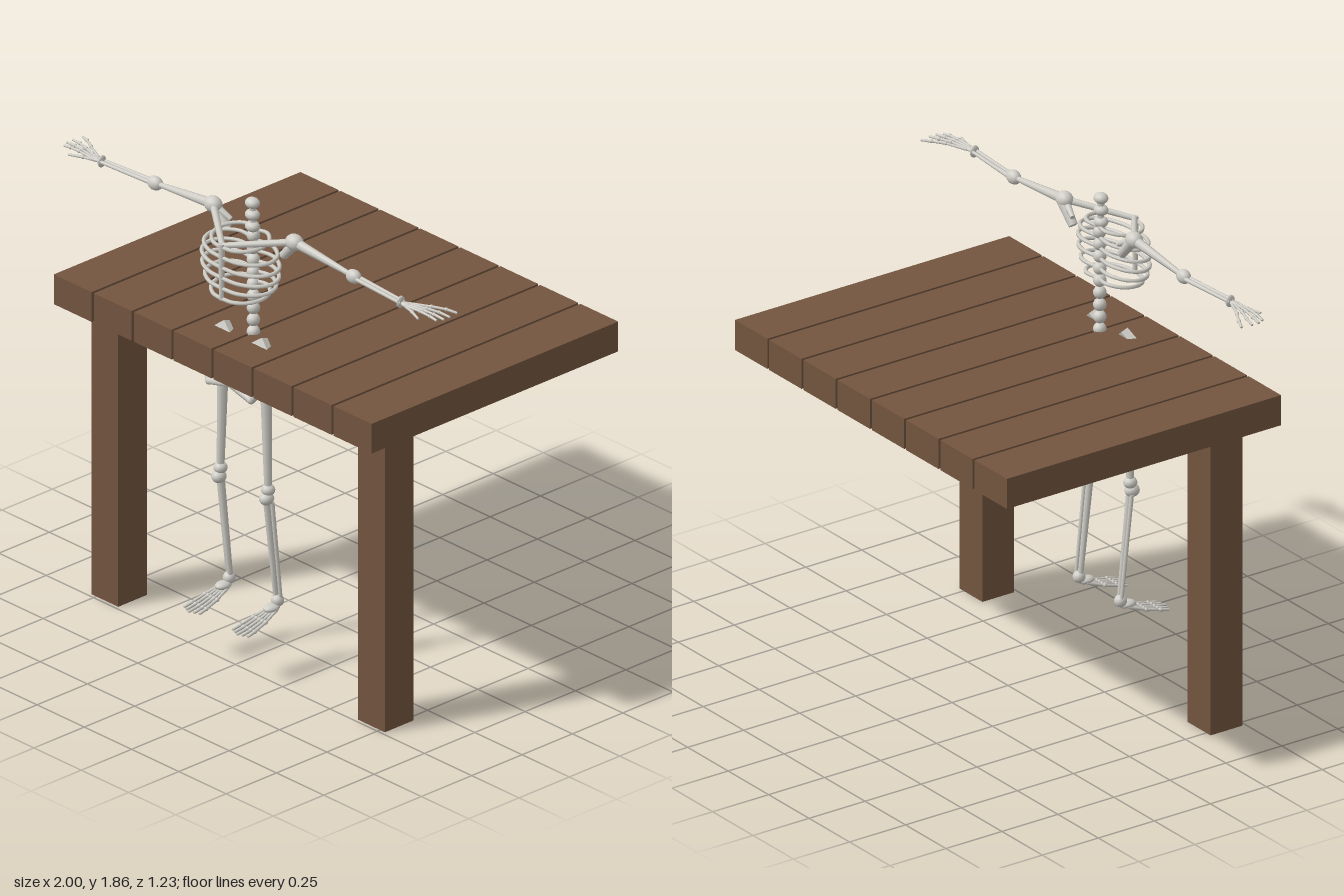
import * as THREE from 'three';

const bone = new THREE.MeshStandardMaterial({ color: 0xcfcdc6 });
bone.name = 'bone';
const wood = new THREE.MeshStandardMaterial({ color: 0x73553f });
wood.name = 'wood';

const V = (x, y, z) => new THREE.Vector3(x, y, z);

function add(parent, name, geometry, material) {
  const mesh = new THREE.Mesh(geometry, material);
  mesh.name = name;
  parent.add(mesh);
  return mesh;
}

function box(parent, name, w, h, d, x, y, z) {
  add(parent, name, new THREE.BoxGeometry(w, h, d), wood).position.set(x, y, z);
}

// Tapered shaft from a to b
function shaft(parent, name, a, b, ra, rb = ra) {
  const dir = b.clone().sub(a);
  const mesh = add(parent, name, new THREE.CylinderGeometry(rb, ra, dir.length(), 8), bone);
  mesh.position.copy(a).addScaledVector(dir, 0.5);
  mesh.quaternion.setFromUnitVectors(V(0, 1, 0), dir.normalize());
}

function ball(parent, name, p, rx, ry = rx, rz = rx) {
  const mesh = add(parent, name, new THREE.SphereGeometry(1, 14, 10), bone);
  mesh.position.copy(p);
  mesh.scale.set(rx, ry, rz);
}

// Chain of shafts with small knuckles between them
function chain(parent, name, points, r) {
  for (let i = 0; i < points.length - 1; i++) {
    shaft(parent, name, points[i], points[i + 1], r, r * 0.8);
    if (i) ball(parent, name + 'Knuckle', points[i], r * 1.3);
  }
}

function makeTable() {
  const g = new THREE.Group();
  g.name = 'table';
  for (let i = 0; i < 8; i++) box(g, 'plank', 0.2, 0.12, 1.225, (i - 3.5) * 0.2115, 1.25, 0);
  for (const s of [-1, 1]) box(g, 'tableLeg', 0.142, 1.295, 0.142, s * 0.705, 0.6475, 0.415);
  return g;
}

function makeTorso() {
  const g = new THREE.Group();
  g.name = 'torso';
  // Spine: lumbar, chest and neck vertebrae
  for (let y = 1.265; y < 1.72; y += 0.0485) ball(g, 'vertebra', V(0, y, 0.41), 0.025);
  for (const y of [1.74, 1.787, 1.834]) ball(g, 'neckVertebra', V(0, y, 0.415), 0.03, 0.021, 0.026);
  shaft(g, 'neckCore', V(0, 1.70, 0.412), V(0, 1.84, 0.415), 0.013);
  shaft(g, 'sacrum', V(0, 1.19, 0.42), V(0, 1.28, 0.41), 0.012, 0.03);
  // Breastbone
  shaft(g, 'sternum', V(0, 1.495, 0.568), V(0, 1.72, 0.568), 0.009, 0.012);
  // Ribs
  const widths = [0.115, 0.165, 0.178, 0.175, 0.158, 0.118];
  widths.forEach((w, i) => {
    const y = 1.712 - i * 0.0415;
    for (const s of [-1, 1]) {
      const path = new THREE.CatmullRomCurve3([
        V(0, y + 0.012, 0.405), V(s * w * 0.5, y + 0.014, 0.395), V(s * w * 0.9, y + 0.008, 0.43),
        V(s * w, y + 0.003, 0.475), V(s * w * 0.85, y - 0.002, 0.525),
        V(s * w * 0.45, y - 0.006, 0.56), V(0, y - 0.006, 0.568),
      ]);
      add(g, 'rib', new THREE.TubeGeometry(path, 28, 0.008, 6), bone);
    }
  });
  return g;
}

function makeArm(s) {
  const g = new THREE.Group();
  g.name = s > 0 ? 'leftArm' : 'rightArm';
  const shoulder = V(s * 0.215, 1.75, 0.408), elbow = V(s * 0.525, 1.722, 0.405);
  shaft(g, 'collarbone', V(0, 1.712, 0.565), shoulder, 0.011, 0.014);
  shaft(g, 'shoulderBlade', V(s * 0.15, 1.672, 0.4), V(s * 0.215, 1.745, 0.4), 0.018, 0.022);
  shaft(g, 'shoulderSpine', V(s * 0.14, 1.71, 0.39), shoulder, 0.01, 0.016);
  ball(g, 'shoulder', shoulder, 0.038, 0.031, 0.031);
  shaft(g, 'upperArm', shoulder, elbow, 0.02, 0.009);
  ball(g, 'elbow', elbow, 0.034, 0.027, 0.024);
  // Forearm pair
  shaft(g, 'ulna', V(s * 0.54, 1.721, 0.396), V(s * 0.8, 1.721, 0.412), 0.009, 0.006);
  shaft(g, 'radius', V(s * 0.54, 1.721, 0.413), V(s * 0.8, 1.721, 0.43), 0.008, 0.007);
  // Wrist and hand
  ball(g, 'wrist', V(s * 0.79, 1.72, 0.421), 0.009, 0.024, 0.02);
  ball(g, 'palmBones', V(s * 0.82, 1.72, 0.421), 0.025, 0.008, 0.016);
  const tips = [[0.99, 0.328], [0.997, 0.37], [0.997, 0.4], [0.985, 0.425]];
  tips.forEach(([x, z], i) => {
    const z0 = 0.408 + i * 0.008;
    chain(g, 'finger', [
      V(s * 0.82, 1.72, z0), V(s * 0.9, 1.724, z0 * 0.55 + z * 0.45),
      V(s * 0.95, 1.721, z0 * 0.2 + z * 0.8), V(s * x, 1.715, z),
    ], 0.0058);
  });
  chain(g, 'thumb', [V(s * 0.81, 1.718, 0.428), V(s * 0.87, 1.715, 0.44), V(s * 0.925, 1.712, 0.46)], 0.0058);
  return g;
}

// Hip wing plate, tilted so its lower edge leans forward
function makeHip(s) {
  const g = new THREE.Group();
  g.name = s > 0 ? 'leftHip' : 'rightHip';
  const outline = [[0.03, 0.09], [0.1, 0.145], [0.165, 0.09], [0.172, -0.005], [0.13, -0.04], [0.09, 0.0]];
  const shape = new THREE.Shape(outline.map(([x, y]) => new THREE.Vector2(s * x, y)));
  const wing = add(g, 'hipWing', new THREE.ExtrudeGeometry(shape, { depth: 0.03, bevelEnabled: false }), bone);
  wing.position.set(0, 1.195, 0.485);
  wing.rotation.x = -0.36;
  shaft(g, 'seatBone', V(s * 0.16, 1.19, 0.495), V(s * 0.11, 1.115, 0.525), 0.016);
  shaft(g, 'pubicBone', V(s * 0.11, 1.115, 0.525), V(0, 1.143, 0.525), 0.015);
  ball(g, 'seatBoneEnd', V(s * 0.11, 1.115, 0.525), 0.016);
  return g;
}

function makeLeg(s) {
  const g = new THREE.Group();
  g.name = s > 0 ? 'leftLeg' : 'rightLeg';
  const x = s * 0.126;
  ball(g, 'hipJoint', V(s * 0.115, 1.17, 0.455), 0.026);
  shaft(g, 'thighBone', V(x, 0.735, 0.455), V(s * 0.113, 1.17, 0.455), 0.014, 0.022);
  ball(g, 'upperKnee', V(x, 0.735, 0.455), 0.026, 0.023, 0.026);
  ball(g, 'lowerKnee', V(x, 0.702, 0.463), 0.027, 0.025, 0.029);
  shaft(g, 'shinBone', V(s * 0.121, 0.275, 0.41), V(s * 0.121, 0.7, 0.458), 0.01, 0.014);
  shaft(g, 'calfBone', V(s * 0.14, 0.275, 0.405), V(s * 0.142, 0.69, 0.45), 0.007, 0.008);
  ball(g, 'ankle', V(s * 0.128, 0.275, 0.41), 0.024);
  ball(g, 'instep', V(s * 0.128, 0.255, 0.44), 0.026, 0.015, 0.035);
  // Toes
  for (let i = -2; i <= 2; i++) {
    const cx = s * 0.128;
    chain(g, 'toe', [
      V(cx + i * 0.009, 0.25, 0.43), V(cx + i * 0.016, 0.227, 0.5),
      V(cx + i * 0.019, 0.212, 0.56), V(cx + i * 0.02, 0.204, 0.612 - Math.abs(i) * 0.008),
    ], 0.0065);
  }
  return g;
}

export function createModel() {
  const model = new THREE.Group();
  model.name = 'tableWithSkeleton';
  const skeleton = new THREE.Group();
  skeleton.name = 'skeleton';
  skeleton.add(makeTorso());
  for (const s of [-1, 1]) skeleton.add(makeArm(s), makeHip(s), makeLeg(s));
  model.add(makeTable(), skeleton);
  return model;
}
